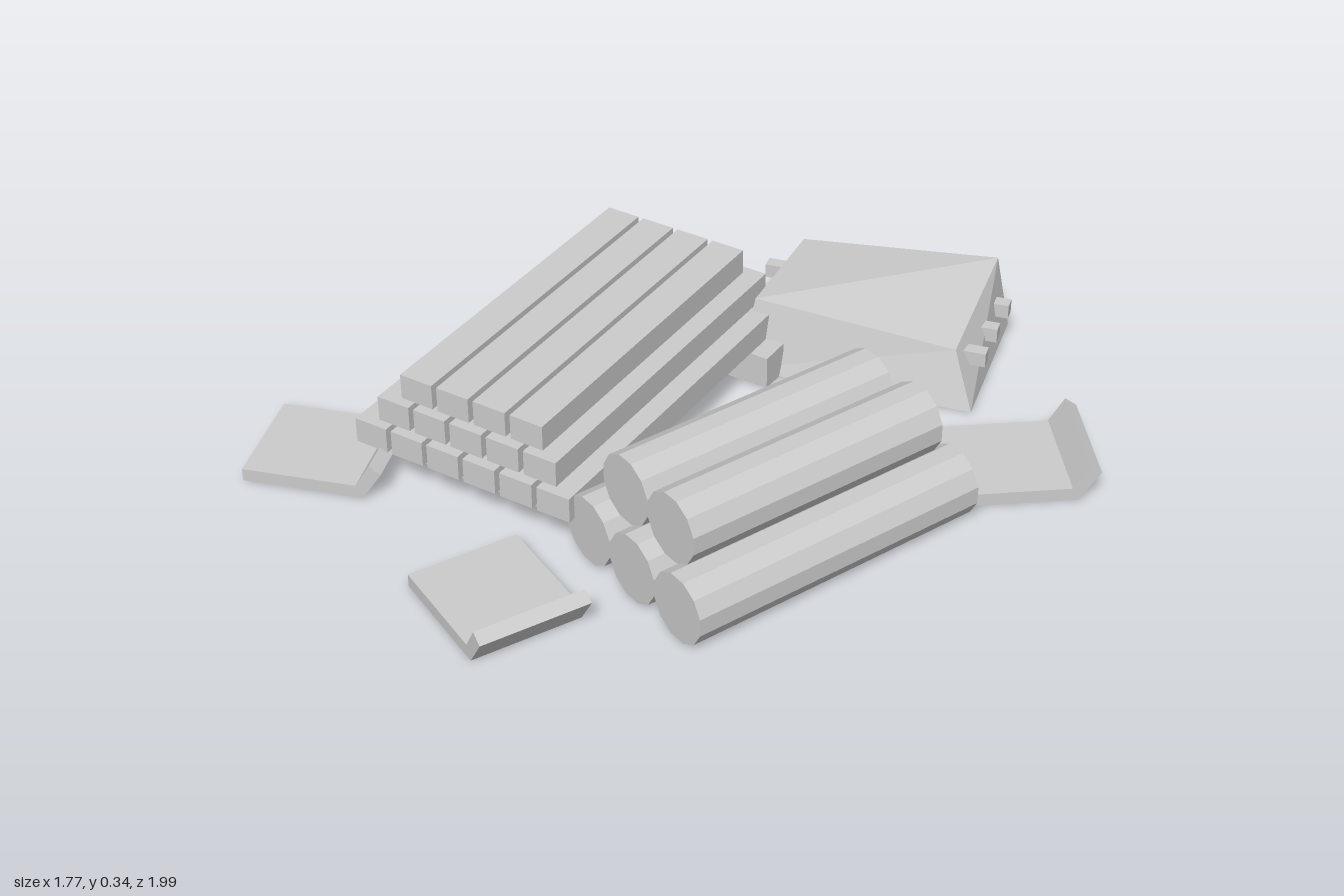
import * as THREE from 'three';

const material = new THREE.MeshStandardMaterial({ color: 0xcccccc, flatShading: true });

function add(parent, name, geometry, x = 0, y = 0, z = 0) {
  const mesh = new THREE.Mesh(geometry, material);
  mesh.name = name;
  mesh.position.set(x, y, z);
  parent.add(mesh);
  return mesh;
}

function turnedGroup(parent, name, x, z, angle) {
  const group = new THREE.Group();
  group.name = name;
  group.position.set(x, 0, z);
  group.rotation.y = angle;
  parent.add(group);
  return group;
}

// Two bearers carrying three shrinking layers of planks
function addPlankStack(parent) {
  const stack = turnedGroup(parent, 'plankStack', -0.347, 0.088, 0.207);
  for (const z of [-0.374, 0.374]) {
    add(stack, 'bearer', new THREE.BoxGeometry(0.747, 0.093, 0.087), 0, 0.0465, z);
  }
  const pitch = 0.11;
  [1.054, 1.0, 0.945].forEach((length, layer) => {
    const count = 6 - layer;
    for (let i = 0; i < count; i++) {
      add(stack, 'plank', new THREE.BoxGeometry(0.095, 0.07, length),
        (i - (count - 1) / 2) * pitch, 0.128 + layer * 0.07, 0);
    }
  });
}

// Three logs below, two shorter logs resting between them
function addLogPile(parent) {
  const pile = turnedGroup(parent, 'logPile', 0.382, 0.14, -0.175);
  [[3, 0.849, 0.09], [2, 0.752, 0.247]].forEach(([count, length, y]) => {
    const log = new THREE.CylinderGeometry(0.093, 0.093, length, 12);
    log.rotateY(Math.PI / 12).rotateX(Math.PI / 2);
    for (let i = 0; i < count; i++) {
      add(pile, 'log', log, (i - (count - 1) / 2) * 0.181, y, 0);
    }
  });
}

// Uneven tapered sack: four base corners and four top corners, clockwise from above
function addSack(parent) {
  const base = [[-0.357, 0, -0.73], [0.225, 0, -1], [0.415, 0, -0.598], [-0.167, 0, -0.328]];
  const top = [[-0.288, 0.18, -0.725], [0.198, 0.217, -0.968], [0.336, 0.15, -0.62], [-0.16, 0.2, -0.386]];
  const points = [];
  const tri = (...corners) => corners.forEach(c => points.push(...c));
  for (let i = 0; i < 4; i++) {
    const j = (i + 1) % 4;
    tri(base[j], base[i], top[i]);
    tri(base[j], top[i], top[j]);
  }
  tri(top[0], top[3], top[1]);
  tri(top[3], top[2], top[1]);
  tri(base[0], base[1], base[2]);
  tri(base[0], base[2], base[3]);
  const geometry = new THREE.BufferGeometry();
  geometry.setAttribute('position', new THREE.Float32BufferAttribute(points, 3));
  geometry.computeVertexNormals();
  const sack = new THREE.Group();
  sack.name = 'sack';
  parent.add(sack);
  add(sack, 'sackBody', geometry);

  // Small pegs along both ends
  for (const [x, z] of [[0.25, -0.908], [-0.305, -0.645]]) {
    for (let i = 0; i < 3; i++) {
      const peg = add(sack, 'peg', new THREE.BoxGeometry(0.07, 0.04, 0.036),
        x + i * 0.05, 0.11, z + i * 0.113);
      peg.rotation.y = 0.44;
    }
  }
}

// Flat tiles with one edge bent upwards
function addTiles(parent) {
  const profile = [[0, 0], [0.32, 0], [0.372, 0.08], [0.342, 0.102], [0.302, 0.035], [0, 0.035]];
  const shape = new THREE.Shape(profile.map(([x, y]) => new THREE.Vector2(x, y)));
  const geometry = new THREE.ExtrudeGeometry(shape, { depth: 0.295, bevelEnabled: false });
  geometry.translate(-0.186, 0, -0.1475);
  for (const [x, z, angle] of [[-0.65, 0.68, 0.523], [0.103, 0.798, -0.258], [0.648, -0.483, 0.86]]) {
    add(parent, 'bentTile', geometry, x, 0, z).rotation.y = angle;
  }
}

export function createModel() {
  const model = new THREE.Group();
  model.name = 'buildingMaterials';
  addPlankStack(model);
  addLogPile(model);
  addSack(model);
  addTiles(model);
  return model;
}
